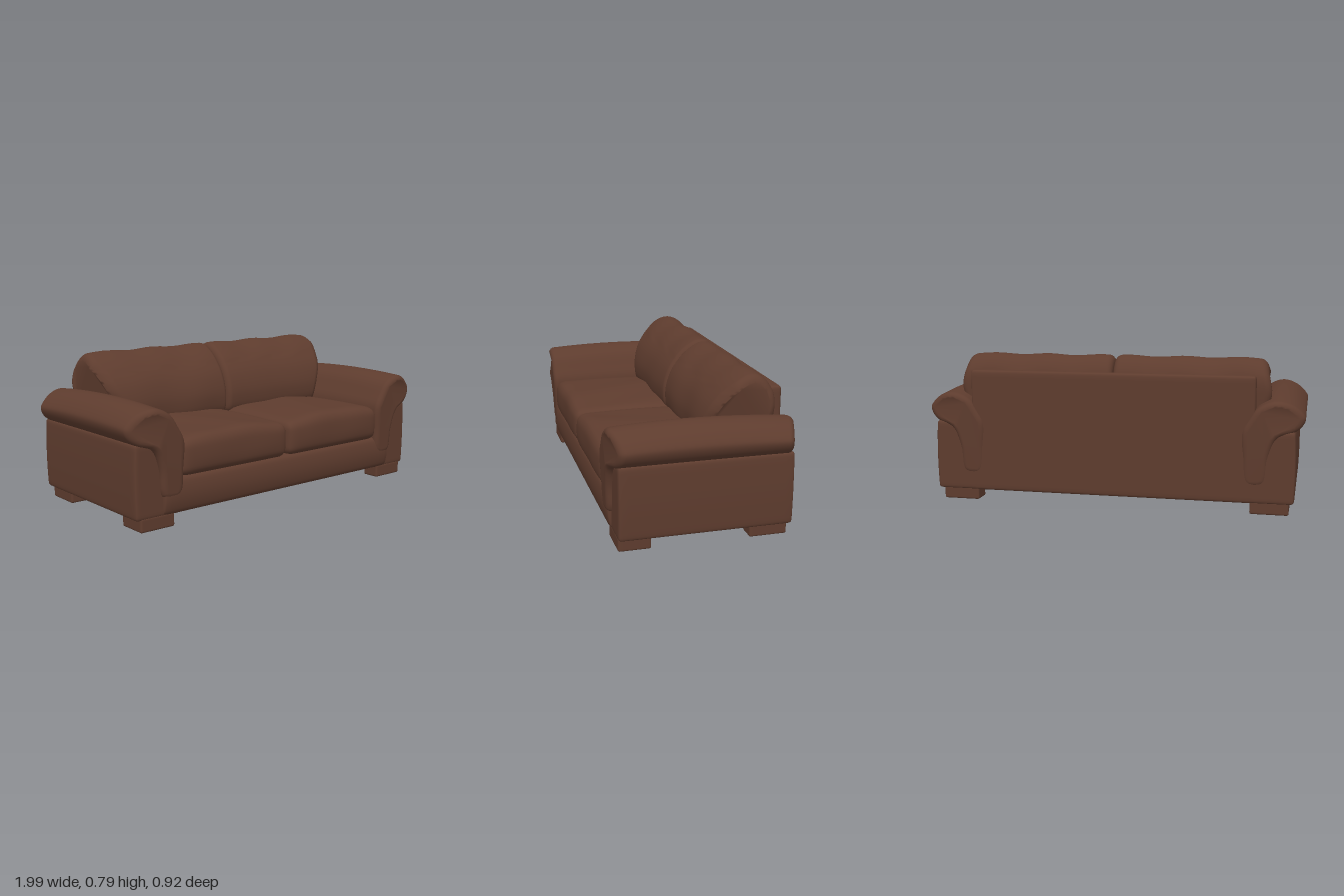
import * as THREE from 'three';
import { mergeVertices } from 'three/addons/utils/BufferGeometryUtils.js';

// Weld a geometry, move its vertices by a rule and give it smooth normals
function soften(geo, rule) {
  geo.deleteAttribute('uv');
  geo.deleteAttribute('normal');
  const g = mergeVertices(geo, 1e-5);
  const p = g.attributes.position;
  const v = new THREE.Vector3();
  for (let i = 0; i < p.count; i++) {
    v.fromBufferAttribute(p, i);
    if (rule) rule(v);
    p.setXYZ(i, v.x, v.y, v.z);
  }
  g.computeVertexNormals();
  return g;
}

// Padded box between two corners, with rounded edges of radius r
function softBox(min, max, r, rule) {
  const lo = new THREE.Vector3(...min), hi = new THREE.Vector3(...max);
  const half = hi.clone().sub(lo).multiplyScalar(0.5);
  const mid = hi.clone().add(lo).multiplyScalar(0.5);
  const inner = half.clone().subScalar(r);
  const q = new THREE.Vector3();
  return soften(new THREE.BoxGeometry(2, 2, 2, 20, 20, 20), (v) => {
    // Rows crowd towards the edges so that the rounding is smooth
    for (const a of ['x', 'y', 'z']) v[a] = Math.sin(v[a] * Math.PI / 2) * half[a];
    q.copy(v).clamp(inner.clone().negate(), inner);
    v.sub(q).normalize().multiplyScalar(r).add(q);
    const u = { x: v.x / half.x, y: v.y / half.y, z: v.z / half.z };
    v.add(mid);
    if (rule) rule(v, u);
  });
}

// Smooth closed outline swept between two depths, with rounded ends
function softSweep(points, from, to, bevel) {
  const curve = new THREE.CatmullRomCurve3(
    points.map(([x, y]) => new THREE.Vector3(x, y, 0)), true, 'centripetal');
  const shape = new THREE.Shape(curve.getPoints(60).slice(0, -1).map((p) => new THREE.Vector2(p.x, p.y)));
  const geo = new THREE.ExtrudeGeometry(shape, {
    depth: to - from - 2 * bevel, steps: 16, curveSegments: 1,
    bevelThickness: bevel, bevelSize: bevel, bevelOffset: -bevel, bevelSegments: 5,
  });
  return geo.translate(0, 0, from + bevel);
}

// Copy across x = 0, keeping faces outward
function mirrored(geo) {
  const g = geo.clone().scale(-1, 1, 1);
  const a = g.index.array;
  for (let i = 0; i < a.length; i += 3) [a[i], a[i + 1]] = [a[i + 1], a[i]];
  g.computeVertexNormals();
  return g;
}

export function createModel() {
  const sofa = new THREE.Group();
  sofa.name = 'sofa';
  const leather = new THREE.MeshStandardMaterial({ color: 0x5e3c2e });
  leather.name = 'brownLeather';

  const add = (name, geo) => {
    const mesh = new THREE.Mesh(geo, leather);
    mesh.name = name;
    sofa.add(mesh);
  };
  const addPair = (name, geo) => {
    add(name + 'Left', geo);
    add(name + 'Right', mirrored(geo));
  };

  // Base with padded front rail
  add('base', softBox([-0.8, 0.063, -0.44], [0.8, 0.25, 0.425], 0.025, (v, u) => {
    if (u.z > 0.5) v.z += 0.02 * (1 - u.y * u.y);
  }));

  // Flat upright back
  add('backPanel', softBox([-0.75, 0.063, -0.452], [0.75, 0.71, -0.385], 0.018));

  // Arm side panels
  addPair('armPanel', softBox([0.69, 0.063, -0.45], [0.95, 0.435, 0.422], 0.018, (v, u) => {
    if (u.x > 0.5) v.x += 0.006 * (1 - u.y * u.y);
  }));

  // Rolled arm tops that hang over the side and inner face
  const roll = softSweep([
    [0.70, 0.16], [0.685, 0.3], [0.683, 0.43], [0.715, 0.5], [0.765, 0.575], [0.85, 0.613],
    [0.93, 0.592], [0.985, 0.54], [0.997, 0.51], [0.98, 0.465], [0.94, 0.43],
    [0.86, 0.4], [0.82, 0.3], [0.8, 0.16],
  ], -0.465, 0.458, 0.028);
  addPair('armRoll', soften(roll, (v) => {
    const drop = Math.max(0, v.y - 0.42) / 0.2;
    v.y -= drop * 0.1 * (v.z - 0.06) ** 2;
    v.z *= 1 - 0.7 * Math.max(0, v.x - 0.87);
    v.z -= 0.012 * Math.max(0, 0.42 - v.y) / 0.26 * Math.sign(v.z);
  }));

  // Seat cushions with a crowned top and full front
  addPair('seatCushion', softBox([0.003, 0.24, -0.36], [0.695, 0.425, 0.44], 0.045, (v, u) => {
    const across = 1 - u.x * u.x;
    if (u.y > 0) v.y += u.y * (0.026 * across + 0.003 * Math.sin(v.x * 19 + v.z * 8));
    if (u.z > 0.5) v.z += (0.018 + 0.004 * Math.sin(v.x * 14)) * (1 - u.y * u.y) * (0.4 + 0.6 * across);
  }));

  // Leaning back cushions, profile given as [-z, y]
  const backCushion = softSweep([
    [0.08, 0.41], [0.055, 0.5], [0.08, 0.61], [0.13, 0.69], [0.2, 0.755], [0.27, 0.787],
    [0.33, 0.775], [0.385, 0.7], [0.39, 0.56], [0.37, 0.41],
  ], 0.002, 0.825, 0.035).rotateY(Math.PI / 2);
  addPair('backCushion', soften(backCushion, (v) => {
    const t = v.x / 0.825;
    // Outer end tapers towards the front and tucks in behind the arm
    v.x *= 1 - 0.85 * Math.max(0, v.z + 0.2) - 0.35 * Math.max(0, 0.6 - v.y)
      - 0.25 * Math.max(0, v.y - 0.64);
    v.z += 0.004 * Math.sin(t * 11 + v.y * 9);
    if (v.y > 0.7) v.y += 0.004 * Math.sin(t * 17);
  }));

  // Corner bracket feet, L-shaped in plan
  for (const [name, zOut, zIn] of [['frontFoot', 0.42, 0.257], ['backFoot', -0.43, -0.237]]) {
    const s = Math.sign(zOut);
    addPair(name + 'Side', softBox(
      [0.83, 0.003, Math.min(zOut, zIn)], [0.925, 0.075, Math.max(zOut, zIn)], 0.01));
    const zEdge = zOut - 0.1 * s;
    addPair(name + 'Face', softBox(
      [0.728, 0.003, Math.min(zOut, zEdge)], [0.92, 0.075, Math.max(zOut, zEdge)], 0.01));
  }

  return sofa;
}
